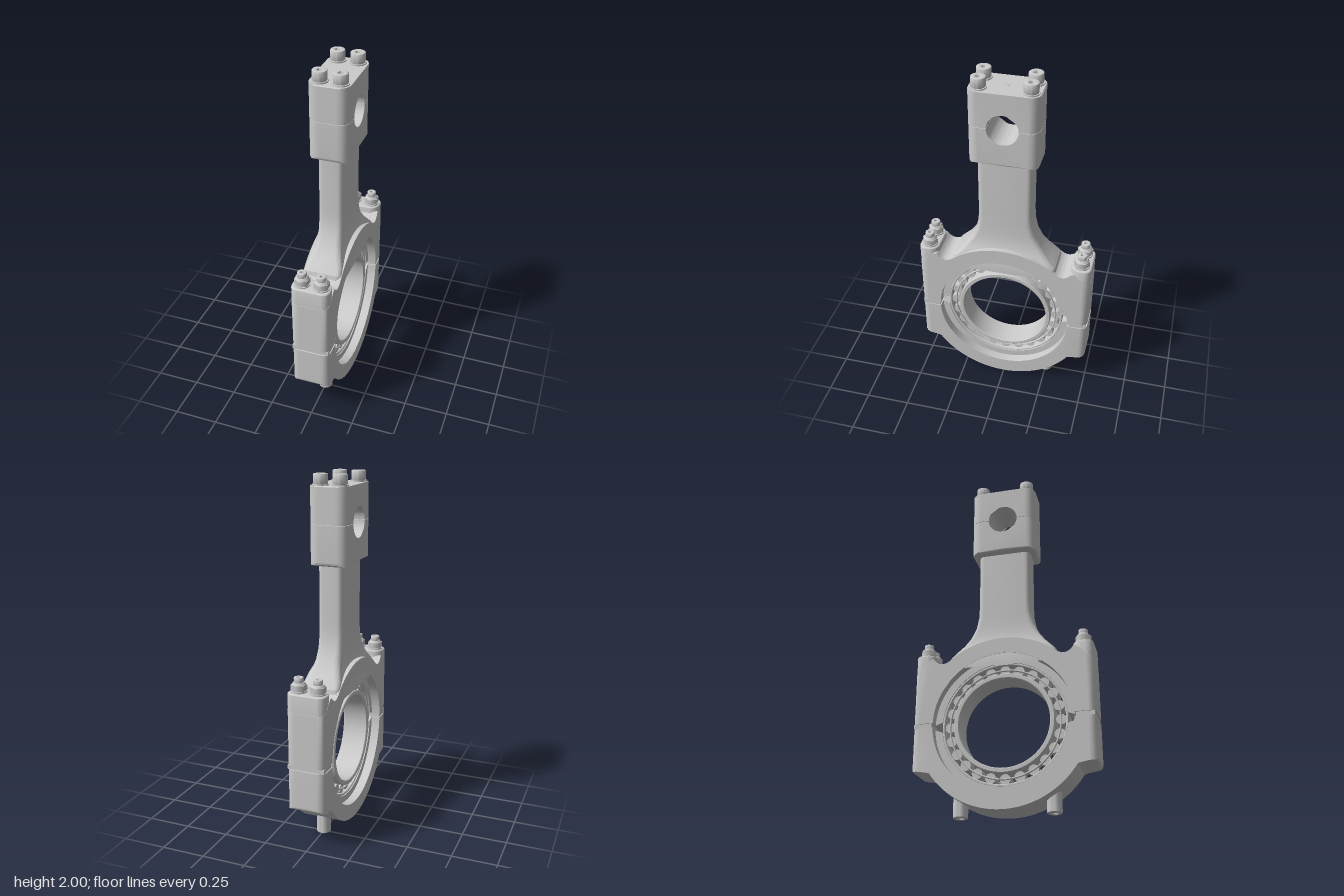
import * as THREE from 'three';
import { toCreasedNormals } from 'three/addons/utils/BufferGeometryUtils.js';

const MAT = new THREE.MeshStandardMaterial({ color: 0xcccccc, side: THREE.DoubleSide });
const HALF = 0.11;   // half thickness along x
const EYE = 0.488;   // height of the big-end centre
const V = (x, y) => new THREE.Vector2(x, y);

function add(parent, name, geo, x = 0, y = 0, z = 0) {
  const m = new THREE.Mesh(geo, MAT);
  m.name = name;
  m.position.set(x, y, z);
  parent.add(m);
  return m;
}

// Symmetric half of a split housing: right-hand outline, its mirror, then the bore arc
function housingShape(path, cut, centre, bore) {
  const right = path.getPoints(20);
  const left = right.map((p) => V(-p.x, p.y)).reverse();
  const a = Math.asin((cut - centre) / bore), b = Math.PI - a;
  const up = cut > centre;
  const arc = [];
  const end = up ? a : a + 2 * Math.PI;
  for (let i = 1; i < 64; i++) {
    const t = b + (end - b) * i / 64;
    arc.push(V(bore * Math.cos(t), centre + bore * Math.sin(t)));
  }
  return new THREE.Shape([...right, ...left.slice(1), ...arc]);
}

// Extrude across x in layers; the rule shrinks each layer by the corner inset
function slab(shape, half, r = 0, rule = null) {
  const g = new THREE.ExtrudeGeometry(shape, { depth: 2, steps: rule ? 16 : 1, bevelEnabled: false, curveSegments: 32 });
  const p = g.attributes.position, v = new THREE.Vector3();
  for (let i = 0; i < p.count; i++) {
    v.fromBufferAttribute(p, i);
    const x = half * Math.sin((v.z - 1) * Math.PI / 2);
    if (rule) {
      const d = Math.min(r, Math.max(0, Math.abs(x) - half + r));
      rule(v, r - Math.sqrt(r * r - d * d));
    }
    p.setXYZ(i, x, v.y, -v.x);
  }
  return toCreasedNormals(g, 0.6);
}

const clampWidth = (v, w) => { v.x = Math.sign(v.x) * Math.min(Math.abs(v.x), w); };

// Ring around the x axis with a rectangular section
function ring(r0, r1, x0, x1, seg = 72) {
  const c = Math.min(0.004, (r1 - r0) / 4);
  const pts = [V(r0, x0 + c), V(r0 + c, x0), V(r1 - c, x0), V(r1, x0 + c), V(r1, x1 - c), V(r1 - c, x1), V(r0 + c, x1), V(r0, x1 - c), V(r0, x0 + c)];
  return toCreasedNormals(new THREE.LatheGeometry(pts, seg).rotateZ(-Math.PI / 2), 0.5);
}

// Round upright head with a hexagonal socket
function socketHead(r, h, hexR) {
  const b = 0.004;
  const s = new THREE.Shape().absarc(0, 0, r - b, 0, Math.PI * 2);
  const hex = [];
  for (let i = 0; i < 6; i++) hex.push(V(hexR * Math.cos(i * Math.PI / 3), hexR * Math.sin(i * Math.PI / 3)));
  s.holes.push(new THREE.Path(hex));
  const g = new THREE.ExtrudeGeometry(s, { depth: h - 2 * b, bevelThickness: b, bevelSize: b, bevelSegments: 2, curveSegments: 16 });
  return toCreasedNormals(g.translate(0, 0, b).rotateX(-Math.PI / 2), 0.6);
}

// Neck: rounded rectangles lofted upward, the lowest one following the ring
function neckGeometry() {
  const rows = [[0, 0.32, 0.108], [0.88, 0.295, 0.107], [0.91, 0.267, 0.1], [0.95, 0.232, 0.085], [1.0, 0.197, 0.073],
    [1.06, 0.168, 0.07], [1.13, 0.153, 0.07], [1.2, 0.15, 0.07], [1.54, 0.15, 0.07]];
  const pos = [], idx = [], n = 28, r = 0.03;
  rows.forEach(([y, hz, hx], j) => {
    for (let i = 0; i < n; i++) {
      const q = Math.floor(i / 7), t = (q + (i % 7) / 6) * Math.PI / 2;
      const sx = q === 0 || q === 3 ? 1 : -1, sz = q < 2 ? 1 : -1;
      const x = sx * (hx - r) + r * Math.cos(t), z = sz * (hz - r) + r * Math.sin(t);
      pos.push(x, y || EYE + Math.sqrt(0.43 ** 2 - z * z), z);
      if (j) {
        const a = (j - 1) * n + i, b = (j - 1) * n + (i + 1) % n;
        idx.push(a, a + n, b, b, a + n, b + n);
      }
    }
  });
  const g = new THREE.BufferGeometry();
  g.setAttribute('position', new THREE.Float32BufferAttribute(pos, 3));
  g.setIndex(idx);
  return toCreasedNormals(g, 0.5);
}

// Upright lug end with a rounded plan
function lugGeometry() {
  const w = HALF - 0.001, a = 0.385, b = 0.499, ri = 0.055, ro = 0.04;
  const s = new THREE.Shape();
  s.moveTo(-w + ri, a).lineTo(w - ri, a).absarc(w - ri, a + ri, ri, -Math.PI / 2, 0);
  s.lineTo(w, b - ro).absarc(w - ro, b - ro, ro, 0, Math.PI / 2);
  s.lineTo(-w + ro, b).absarc(-w + ro, b - ro, ro, Math.PI / 2, Math.PI);
  s.lineTo(-w, a + ri).absarc(-w + ri, a + ri, ri, Math.PI, Math.PI * 1.5);
  const g = new THREE.ExtrudeGeometry(s, { depth: 0.289, bevelThickness: 0.008, bevelSize: 0.008, bevelOffset: -0.008, bevelSegments: 3, curveSegments: 10 });
  return toCreasedNormals(g.translate(0, 0, 0.608).rotateX(Math.PI / 2).scale(1, -1, 1).rotateY(0), 0.6);
}

export function createModel() {
  const model = new THREE.Group();
  model.name = 'connectingRod';

  // Big end: upper half and lower cap
  const roundLug = (v, inset) => clampWidth(v, 0.5 - inset);
  const upper = new THREE.Path();
  upper.moveTo(0.385, 0.5).lineTo(0.5, 0.5).lineTo(0.5, 0.8);
  upper.bezierCurveTo(0.44, 0.83, 0.41, 0.9, 0.385, 0.865);
  upper.bezierCurveTo(0.365, 0.84, 0.335, 0.83, 0.3, 0.856);
  upper.absarc(0, EYE, 0.475, Math.atan2(0.368, 0.3), Math.PI / 2, false);
  add(model, 'bigEndUpper', slab(housingShape(upper, 0.5, EYE, 0.385), HALF, 0.04, roundLug));

  const lower = new THREE.Path();
  lower.moveTo(0.385, 0.476).lineTo(0.5, 0.476).lineTo(0.5, 0.26);
  lower.quadraticCurveTo(0.5, 0.24, 0.48, 0.238).lineTo(0.46, 0.236);
  lower.quadraticCurveTo(0.425, 0.232, 0.395, 0.224);
  lower.absarc(0, EYE, 0.475, Math.atan2(-0.264, 0.395), -Math.PI / 2, true);
  add(model, 'bigEndCap', slab(housingShape(lower, 0.476, EYE, 0.385), HALF, 0.04, roundLug));

  // Bearing seat inside each half
  for (const [cut, dir] of [[0.5, 1], [0.476, -1]]) {
    const seat = new THREE.Path();
    const a = Math.asin((cut - EYE) / 0.39);
    seat.absarc(0, EYE, 0.39, a, dir * Math.PI / 2, dir < 0);
    add(model, 'bearingSeat', slab(housingShape(seat, cut, EYE, 0.345), 0.06));
  }

  add(model, 'neck', neckGeometry());

  // Bearing
  add(model, 'bearingOuterRing', ring(0.332, 0.347, -0.055, 0.055), 0, EYE, 0);
  add(model, 'bearingInnerRing', ring(0.25, 0.277, -0.075, 0.075), 0, EYE, 0);
  for (const s of [-1, 1]) add(model, 'bearingCage', ring(0.3, 0.309, -0.006, 0.006), s * 0.045, EYE, 0);
  const roller = toCreasedNormals(new THREE.CylinderGeometry(0.029, 0.029, 0.084, 20).rotateZ(Math.PI / 2), 0.6);
  for (let i = 0; i < 24; i++) {
    const t = i / 24 * Math.PI * 2;
    add(model, 'roller', roller, 0, EYE + 0.305 * Math.cos(t), 0.305 * Math.sin(t));
  }

  // Small-end block, split through the bore
  const roundBlock = (v, inset) => {
    clampWidth(v, 0.19 - inset);
    v.y = Math.max(v.y, 1.52 + inset * 0.3);
  };
  const top = new THREE.Path();
  top.moveTo(0.085, 1.741).lineTo(0.19, 1.741).lineTo(0.19, 1.935).lineTo(0.185, 1.94).lineTo(0, 1.94);
  add(model, 'smallEndCap', slab(housingShape(top, 1.741, 1.74, 0.085), HALF, 0.055, roundBlock));
  const base = new THREE.Path();
  base.moveTo(0.085, 1.739).lineTo(0.19, 1.739).lineTo(0.19, 1.545).quadraticCurveTo(0.19, 1.52, 0.165, 1.52).lineTo(0, 1.52);
  add(model, 'smallEndBase', slab(housingShape(base, 1.739, 1.74, 0.085), HALF, 0.055, roundBlock));
  add(model, 'oilHole', new THREE.TorusGeometry(0.011, 0.002, 6, 20).rotateX(Math.PI / 2), 0, 1.94, 0);

  // Lugs, shims, bolts, nuts and locating pins, mirrored front to back
  const lug = lugGeometry();
  const head = socketHead(0.039, 0.055, 0.02), stud = socketHead(0.026, 0.035, 0.014);
  const washer = new THREE.CylinderGeometry(0.045, 0.045, 0.007, 28);
  const nut = new THREE.CylinderGeometry(0.044, 0.044, 0.034, 6);
  const collar = new THREE.CylinderGeometry(0.03, 0.038, 0.012, 24);
  const socketFloor = new THREE.CylinderGeometry(0.022, 0.022, 0.03, 16);
  const pin = new THREE.LatheGeometry([V(0, 0.012), V(0.018, 0.012), V(0.018, 0), V(0.035, 0), V(0.04, 0.005), V(0.04, 0.12)], 28);
  for (const s of [-1, 1]) {
    const lugMesh = add(model, 'boltLug', lug);
    lugMesh.rotation.y = s > 0 ? 0 : Math.PI;
    add(model, 'shim', new THREE.BoxGeometry(0.21, 0.026, 0.1), 0, EYE, s * 0.442);
    add(model, 'locatingPin', toCreasedNormals(pin, 0.5), 0, 0, s * 0.25);
    for (const x of [-0.055, 0.055]) {
      add(model, 'boltWasher', washer, x, 1.9435, s * 0.135);
      add(model, 'boltHead', head, x, 1.945, s * 0.135);
      add(model, 'boltSocketFloor', socketFloor, x, 1.955, s * 0.135);
      add(model, 'nutWasher', washer, x, 0.909, s * 0.442);
      add(model, 'nut', nut, x, 0.929, s * 0.442);
      add(model, 'nutCollar', collar, x, 0.952, s * 0.442);
      add(model, 'studEnd', stud, x, 0.95, s * 0.442);
      add(model, 'studSocketFloor', socketFloor, x, 0.954, s * 0.442);
    }
  }
  return model;
}
